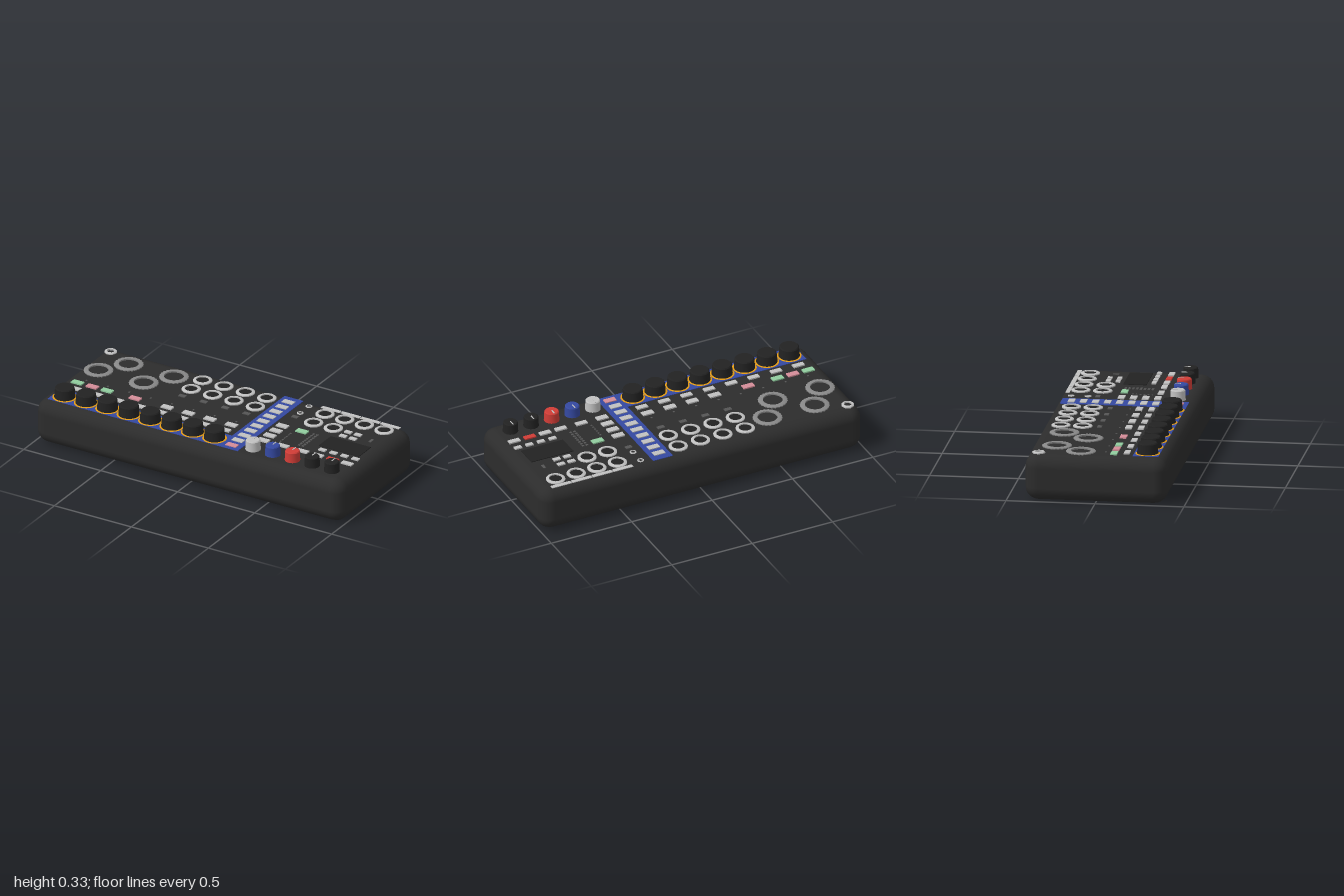
import * as THREE from 'three';
import { toCreasedNormals } from 'three/addons/utils/BufferGeometryUtils.js';
import { RoundedBoxGeometry } from 'three/addons/geometries/RoundedBoxGeometry.js';

const TOP = 0.264; // height of the control surface

export function createModel() {
  const model = new THREE.Group();
  model.name = 'grooveController';

  const mat = {};
  const colours = {
    charcoal: 0x2c2c2c, black: 0x222222, lightGrey: 0xc0c0c0, midGrey: 0x888888, darkGrey: 0x555555,
    blue: 0x3448a0, orange: 0xe39a12, red: 0xd03c36, green: 0x90cc9e, pink: 0xd48c98,
  };
  for (const [name, color] of Object.entries(colours)) {
    mat[name] = new THREE.MeshStandardMaterial({ color });
    mat[name].name = name;
  }

  const add = (name, geometry, colour, x, y, z) => {
    const mesh = new THREE.Mesh(geometry, mat[colour]);
    mesh.name = name;
    mesh.position.set(x, y, z);
    model.add(mesh);
    return mesh;
  };
  // Flat box standing on the control surface
  const plate = (name, colour, x, z, w, d, h = 0.008) =>
    add(name, new THREE.BoxGeometry(w, h, d), colour, x, TOP + h / 2, z);
  const button = (colour, x, z, w = 0.068, d = 0.037) => plate('button', colour, x, z, w, d);

  const lathe = (points, sides) => toCreasedNormals(
    new THREE.LatheGeometry(points.map(([r, y]) => new THREE.Vector2(r, y)), sides), 0.6);

  // Raised collar; knurled collars pull in every other outer edge
  const collar = (name, colour, x, z, outer, inner, h, sides = 24, knurl = 1) => {
    const g = new THREE.LatheGeometry([[outer, 0], [outer, h * 0.6], [outer - 0.006, h], [inner, h], [inner, 0]]
      .map(([r, y]) => new THREE.Vector2(r, y)), sides);
    const p = g.attributes.position;
    for (let i = 0; i < p.count; i++) {
      if (i % 5 < 3 && Math.floor(i / 5) % 2) p.setXYZ(i, p.getX(i) * knurl, p.getY(i), p.getZ(i) * knurl);
    }
    g.computeVertexNormals();
    add(name, toCreasedNormals(g, 0.6), colour, x, TOP, z);
  };

  // Case
  add('case', new RoundedBoxGeometry(2, TOP, 0.8, 3, 0.075), 'charcoal', 0, TOP / 2, 0);

  // Painted blue panels
  plate('knobPanel', 'blue', -0.381, 0.275, 1.112, 0.144, 0.003);
  plate('sidePanel', 'blue', 0.236, -0.008, 0.122, 0.71, 0.003);

  // Large knobs with coloured rings, and the buttons above them
  const knobShape = lathe([[0.06, 0], [0.059, 0.012], [0.055, 0.06], [0.05, 0.066], [0, 0.066]], 32);
  for (let i = 0; i < 8; i++) {
    const x = -0.867 + 0.139 * i;
    collar('knobRing', 'orange', x, 0.278, 0.069, 0.058, 0.005, 32);
    add('largeKnob', knobShape, 'black', x, TOP, 0.278);
    button('lightGrey', x, 0.164, 0.066, 0.032);
    plate('indicator', 'darkGrey', x, 0.043, 0.01, 0.01, 0.003);
  }

  // Small knobs with pointers
  const smallShape = lathe([[0.044, 0], [0.043, 0.012], [0.041, 0.055], [0.036, 0.06], [0, 0.06]], 24);
  ['lightGrey', 'blue', 'red', 'black', 'black'].forEach((colour, i) => {
    const x = 0.355 + 0.128 * i;
    add('smallKnob', smallShape, colour, x, TOP, 0.276);
    add('pointer', new THREE.BoxGeometry(0.006, 0.003, 0.034), 'lightGrey', x, TOP + 0.061, 0.258);
  });

  // Side panel button column
  for (let i = 0; i < 10; i++) button(i === 9 ? 'pink' : 'lightGrey', 0.235, -0.305 + 0.0677 * i);

  // Knurled dials
  for (const [x, z] of [[-0.766, -0.245], [-0.472, -0.245], [-0.873, -0.096], [-0.579, -0.096]]) {
    collar('dial', 'midGrey', x, z, 0.084, 0.056, 0.009, 48, 0.95);
  }

  // Sockets: left block, right block, corner socket and pin sockets
  const socket = (x, z) => {
    collar('socket', 'lightGrey', x, z, 0.054, 0.037, 0.01);
    add('socketHole', new THREE.CylinderGeometry(0.037, 0.037, 0.003, 24), 'black', x, TOP + 0.0015, z);
  };
  for (let i = 0; i < 4; i++) {
    const left = -0.312 + 0.139 * i;
    const right = 0.483 + 0.128 * i;
    socket(left, -0.288);
    socket(left, -0.165);
    plate('lamp', 'darkGrey', left, -0.07, 0.042, 0.026, 0.005);
    button('lightGrey', left, 0.094);
    socket(right, -0.288);
    if (i < 2) socket(right, -0.165);
    plate('labelStrip', 'lightGrey', right, -0.355, 0.122, 0.024, 0.004);
  }
  collar('cornerSocket', 'lightGrey', -0.931, -0.325, 0.037, 0.023, 0.01, 8);
  for (const z of [-0.325, -0.23]) collar('pinSocket', 'lightGrey', 0.357, z, 0.019, 0.013, 0.006, 16);
  plate('lamp', 'darkGrey', 0.357, -0.175, 0.038, 0.026, 0.005);

  // Coloured buttons on the left
  button('green', -0.894, 0.094);
  button('pink', -0.798, 0.094);
  button('green', -0.702, 0.094);
  button('pink', -0.52, 0.094);

  // Right section buttons
  for (let i = 0; i < 4; i++) {
    button('lightGrey', 0.355, -0.041 + 0.068 * i);
    button('lightGrey', 0.697 + 0.0715 * i, 0.094, 0.043, 0.026);
    button('lightGrey', 0.708 + 0.064 * (i % 2), i < 2 ? -0.165 : -0.11, 0.043, 0.026);
  }
  button('green', 0.483, -0.041);
  [0.483, 0.611, 0.708, 0.804, 0.9].forEach((x, i) =>
    button(i === 3 ? 'red' : 'lightGrey', x, 0.164, 0.068, 0.032));

  // Display, slot and indicator lights
  plate('display', 'black', 0.78, -0.008, 0.26, 0.13, 0.004);
  plate('slot', 'darkGrey', 0.87, -0.144, 0.016, 0.034, 0.004);
  for (let i = 0; i < 8; i++) {
    if (i < 6) plate('indicator', 'darkGrey', 0.44, 0.01 + 0.022 * i, 0.01, 0.01, 0.003);
    for (const x of [0.553, 0.577]) plate('indicator', 'darkGrey', x, -0.048 + 0.022 * i, 0.014, 0.013, 0.003);
  }
  return model;
}
